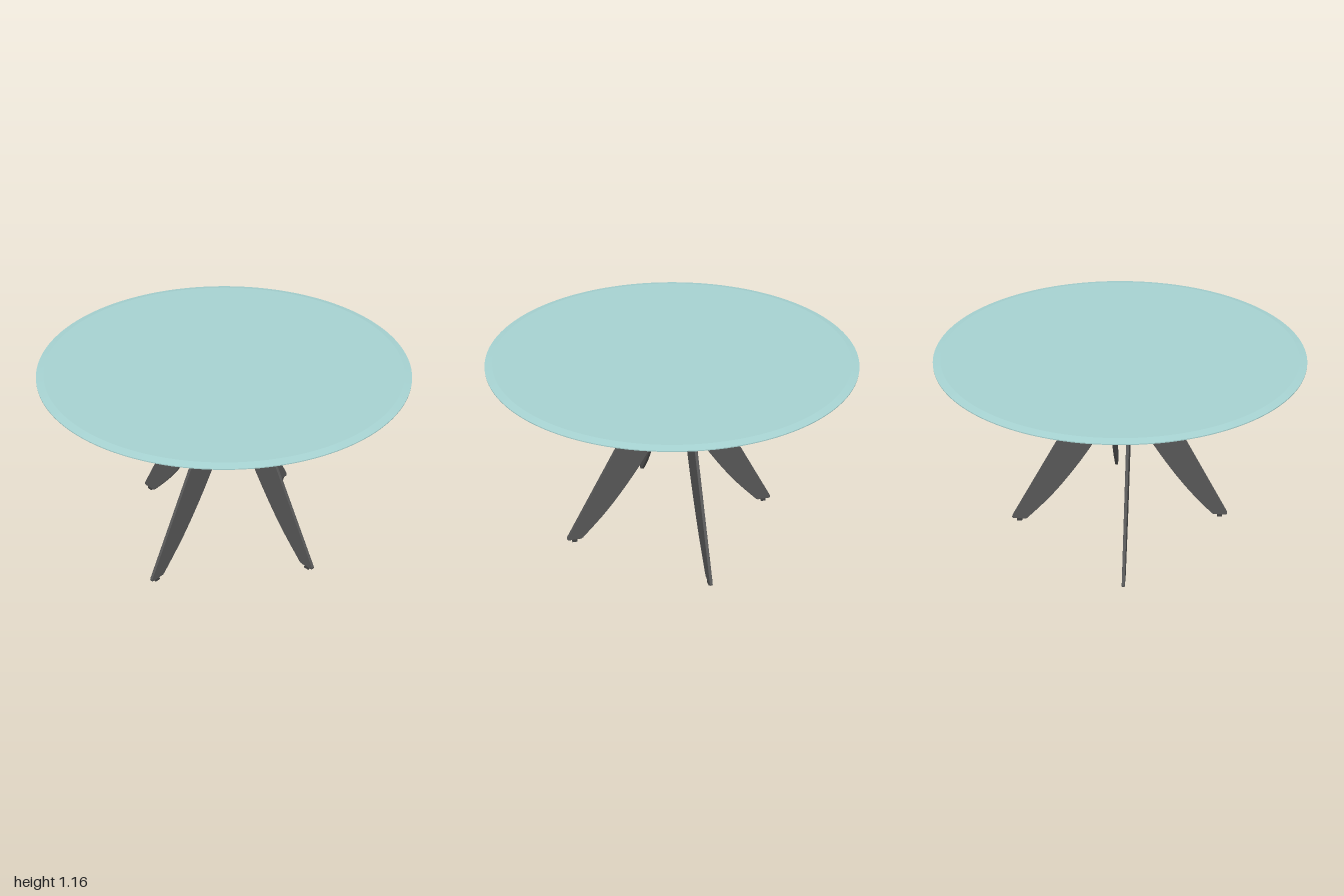
import * as THREE from 'three';

const LEG_OFFSET = 0.06;   // distance of each plate from the centre axis
const THICK = 0.017;
const BEVEL = 0.003;

// Outline of one plate: x runs outward from the centre, y is up
function plateShape() {
  const s = new THREE.Shape();
  s.moveTo(-0.052, 1.122);
  s.lineTo(-0.052, 0.868);
  s.lineTo(-0.03, 0.868);
  s.quadraticCurveTo(0.005, 0.868, 0.04, 0.8);
  // curved inner edge of the leg
  s.splineThru([
    new THREE.Vector2(0.137, 0.6),
    new THREE.Vector2(0.26, 0.4),
    new THREE.Vector2(0.405, 0.2),
    new THREE.Vector2(0.555, 0.03),
  ]);
  // foot
  s.quadraticCurveTo(0.565, 0.017, 0.58, 0.017);
  s.lineTo(0.645, 0.017);
  s.quadraticCurveTo(0.66, 0.02, 0.653, 0.037);
  // straight outer edge and rounded armpit
  s.lineTo(0.163, 0.948);
  s.bezierCurveTo(0.145, 0.982, 0.165, 1.014, 0.205, 1.018);
  // support arm
  s.lineTo(0.525, 1.064);
  s.quadraticCurveTo(0.55, 1.068, 0.565, 1.083);
  s.lineTo(0.592, 1.11);
  s.quadraticCurveTo(0.598, 1.122, 0.585, 1.122);
  s.closePath();
  return s;
}

export function createModel() {
  const model = new THREE.Group();
  model.name = 'roundGlassTable';

  const legMat = new THREE.MeshStandardMaterial({ color: 0x575757 });
  const padMat = new THREE.MeshStandardMaterial({ color: 0x444444 });
  const glassMat = new THREE.MeshStandardMaterial({ color: 0xa6d2d1 });

  const plateGeo = new THREE.ExtrudeGeometry(plateShape(), {
    depth: THICK - 2 * BEVEL, curveSegments: 12,
    bevelEnabled: true, bevelThickness: BEVEL, bevelSize: BEVEL, bevelOffset: -BEVEL, bevelSegments: 2,
  });
  plateGeo.translate(0, 0, -THICK / 2 + BEVEL);
  const topPadGeo = new THREE.CylinderGeometry(0.03, 0.03, 0.023, 32);
  const footPadGeo = new THREE.BoxGeometry(0.03, 0.02, 0.014);

  // Four identical plates arranged as a pinwheel
  for (let i = 0; i < 4; i++) {
    const leg = new THREE.Group();
    leg.name = 'leg' + (i + 1);

    const plate = new THREE.Mesh(plateGeo, legMat);
    plate.name = 'legPlate';
    const topPad = new THREE.Mesh(topPadGeo, padMat);
    topPad.name = 'glassPad';
    topPad.position.set(0.547, 1.1325, 0);
    const footPad = new THREE.Mesh(footPadGeo, padMat);
    footPad.name = 'footPad';
    footPad.position.set(0.611, 0.01, 0);

    for (const part of [plate, topPad, footPad]) {
      part.position.z -= LEG_OFFSET;
      leg.add(part);
    }
    leg.rotation.y = i * Math.PI / 2;
    model.add(leg);
  }

  // Round top with a shallow bevelled rim; doubled points keep the edges sharp
  const rim = [
    [0, 1.143], [0.99, 1.143], [0.99, 1.143], [1, 1.146], [1, 1.146],
    [1, 1.151], [1, 1.151], [0.96, 1.158], [0.96, 1.158], [0, 1.158],
  ].map(([r, y]) => new THREE.Vector2(r, y));
  const glass = new THREE.Mesh(new THREE.LatheGeometry(rim, 128), glassMat);
  glass.name = 'glassTop';
  model.add(glass);

  return model;
}
